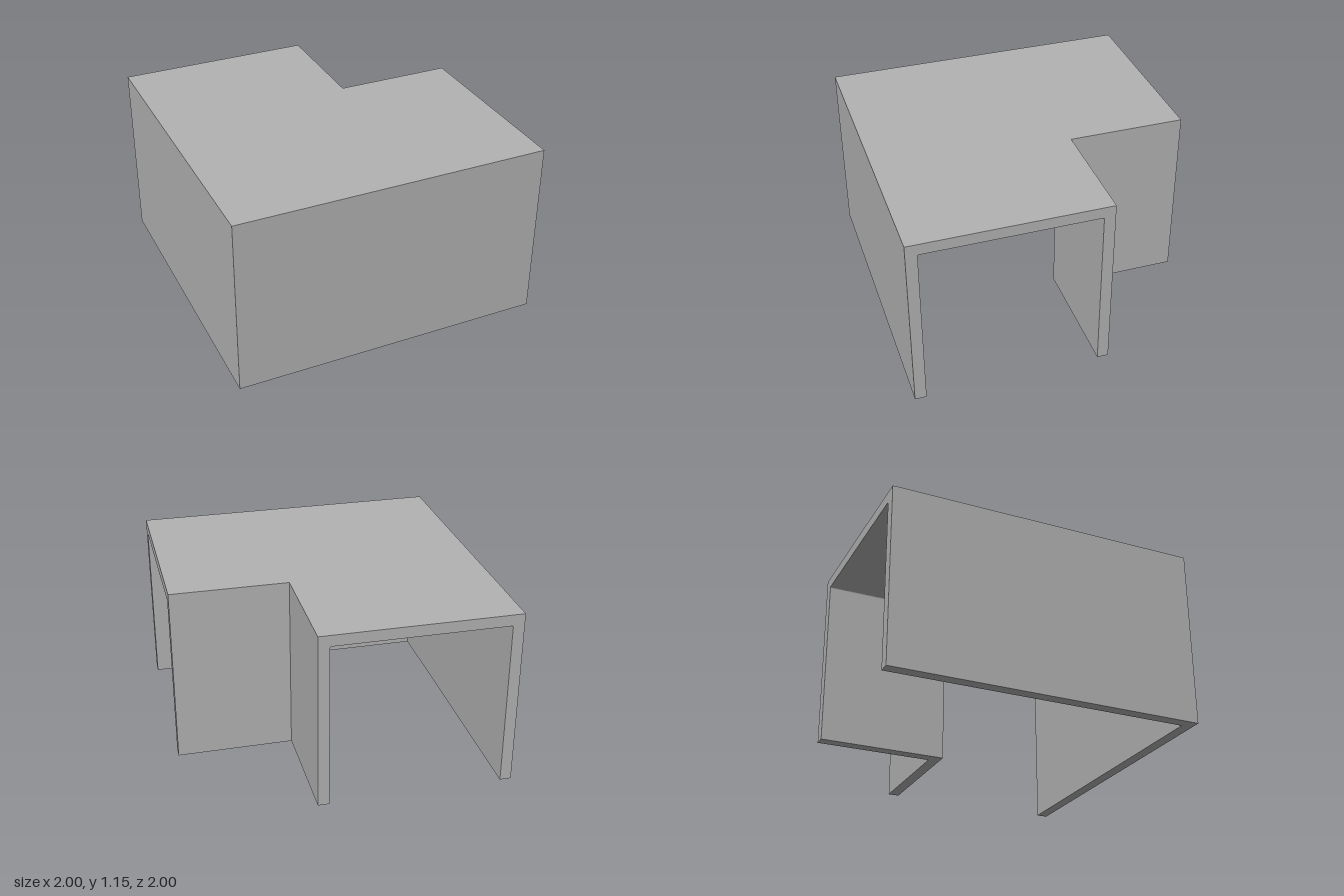
import * as THREE from 'three';

const HEIGHT = 1.155, WIDTH = 1.25, WALL = 0.072, FILLET = 0.01;

// Cross-section: an inverted U with slightly rounded inner corners
function channelProfile() {
  const inner = WIDTH - WALL, under = HEIGHT - WALL;
  const s = new THREE.Shape();
  s.moveTo(0, 0);
  s.lineTo(WALL, 0);
  s.lineTo(WALL, under - FILLET);
  s.quadraticCurveTo(WALL, under, WALL + FILLET, under);
  s.lineTo(inner - FILLET, under);
  s.quadraticCurveTo(inner, under, inner, under - FILLET);
  s.lineTo(inner, 0);
  s.lineTo(WIDTH, 0);
  s.lineTo(WIDTH, HEIGHT);
  s.lineTo(0, HEIGHT);
  s.closePath();
  return s;
}

export function createModel() {
  const group = new THREE.Group();
  group.name = 'cornerChannel';

  const grey = new THREE.MeshStandardMaterial({ color: 0xb2b2b2 });
  grey.name = 'light grey';

  // Two steps: back end, mitred corner, side end
  const geometry = new THREE.ExtrudeGeometry(channelProfile(), {
    depth: 2, steps: 2, bevelEnabled: false, curveSegments: 4,
  });

  // Bend the straight extrusion into an L with a 45 degree mitre
  const p = geometry.attributes.position;
  for (let i = 0; i < p.count; i++) {
    const u = p.getX(i), y = p.getY(i), station = Math.round(p.getZ(i));
    const x = station === 2 ? 1 : -1 + u;
    const z = station === 0 ? -1 : 1 - u;
    p.setXYZ(i, x, y, z);
  }
  geometry.computeVertexNormals();

  const channel = new THREE.Mesh(geometry, grey);
  channel.name = 'mitredChannel';
  group.add(channel);
  return group;
}
